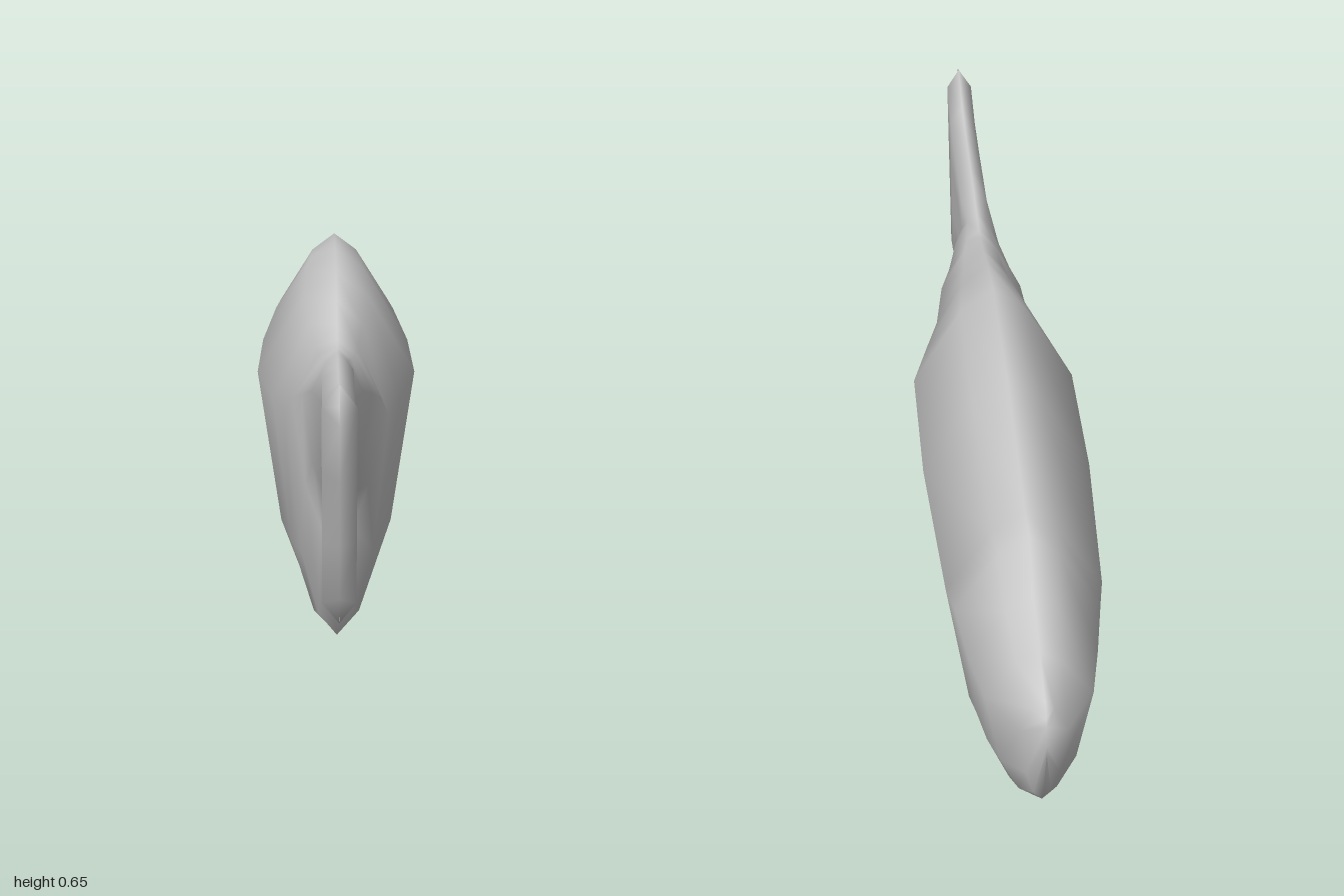
import * as THREE from 'three';
import { mergeVertices } from 'three/addons/utils/BufferGeometryUtils.js';

// Side points of a section: [share of the half width, share of the height from the top]
const BODY_SHAPE = [[0.41, 0.07], [1, 0.285], [0.71, 0.72], [0.36, 0.93]];
const TAIL_SHAPE = [[1, 0.09], [1, 0.35], [1, 0.65], [1, 0.91]];
const TAIL_WIDTH = 0.025;

// Body sections from snout to tail root: top z, top y, bottom z, bottom y, half width
const BODY = [
  [-0.98, 0.49, -1, 0.43, 0],
  [-0.96, 0.5, -0.94, 0.3, 0.035],
  [-0.88, 0.525, -0.88, 0.25, 0.08],
  [-0.78, 0.55, -0.78, 0.18, 0.098],
  [-0.7, 0.605, -0.67, 0.12, 0.112], // brow bump
  [-0.63, 0.602, -0.62, 0.1, 0.122],
  [-0.3, 0.64, -0.28, 0.01, 0.14],
  [0, 0.645, 0, 0.004, 0.142],
  [0.14, 0.62, 0.15, 0.015, 0.112],
  [0.24, 0.597, 0.26, 0.05, 0.088], // foot of the belly
  [0.31, 0.585, 0.285, 0.23, 0.075],
  [0.35, 0.58, 0.33, 0.305, 0.058],
  [0.41, 0.585, 0.41, 0.36, 0.042],
];

// Tail sections: top z, top y, bottom z, bottom y
const TAIL = [
  [0.49, 0.594, 0.47, 0.38],
  [0.58, 0.598, 0.57, 0.367],
  [0.71, 0.605, 0.67, 0.33],
  [0.83, 0.62, 0.79, 0.281],
  [0.95, 0.655, 0.84, 0.272],
];
const TAIL_EDGE = [1, 0.635, 0.88, 0.295];

// One closed ring: top ridge, left side down, bottom ridge, right side up
function ring([zt, yt, zb, yb], width, shape) {
  const at = (x, t) => [x, yt + (yb - yt) * t, zt + (zb - zt) * t];
  const left = shape.map(([w, t]) => at(w * width, t));
  const right = left.map(([x, y, z]) => [-x, y, z]).reverse();
  return [at(0, 0), ...left, at(0, 1), ...right];
}

// Skin through the rings, welded where the ends close to an edge
function loft(rings) {
  const n = rings[0].length;
  const index = [];
  for (let i = 0; i < rings.length - 1; i++) {
    for (let j = 0; j < n; j++) {
      const a = i * n + j;
      const b = i * n + ((j + 1) % n);
      index.push(a, a + n, b + n, a, b + n, b);
    }
  }
  const geometry = new THREE.BufferGeometry();
  geometry.setAttribute('position', new THREE.Float32BufferAttribute(rings.flat(2), 3));
  geometry.setIndex(index);
  const welded = mergeVertices(geometry, 1e-4);
  welded.computeVertexNormals();
  return welded;
}

export function createModel() {
  const model = new THREE.Group();
  model.name = 'fish';
  const grey = new THREE.MeshStandardMaterial({ color: 0xcccccc });
  grey.name = 'light grey';

  // Body, brow bump and tail fin form one continuous skin
  const rings = [
    ...BODY.map((s) => ring(s, s[4], BODY_SHAPE)),
    ...TAIL.map((s) => ring(s, TAIL_WIDTH, TAIL_SHAPE)),
    ring(TAIL_EDGE, 0, TAIL_SHAPE),
  ];
  const skin = new THREE.Mesh(loft(rings), grey);
  skin.name = 'bodyAndTail';
  model.add(skin);
  return model;
}
